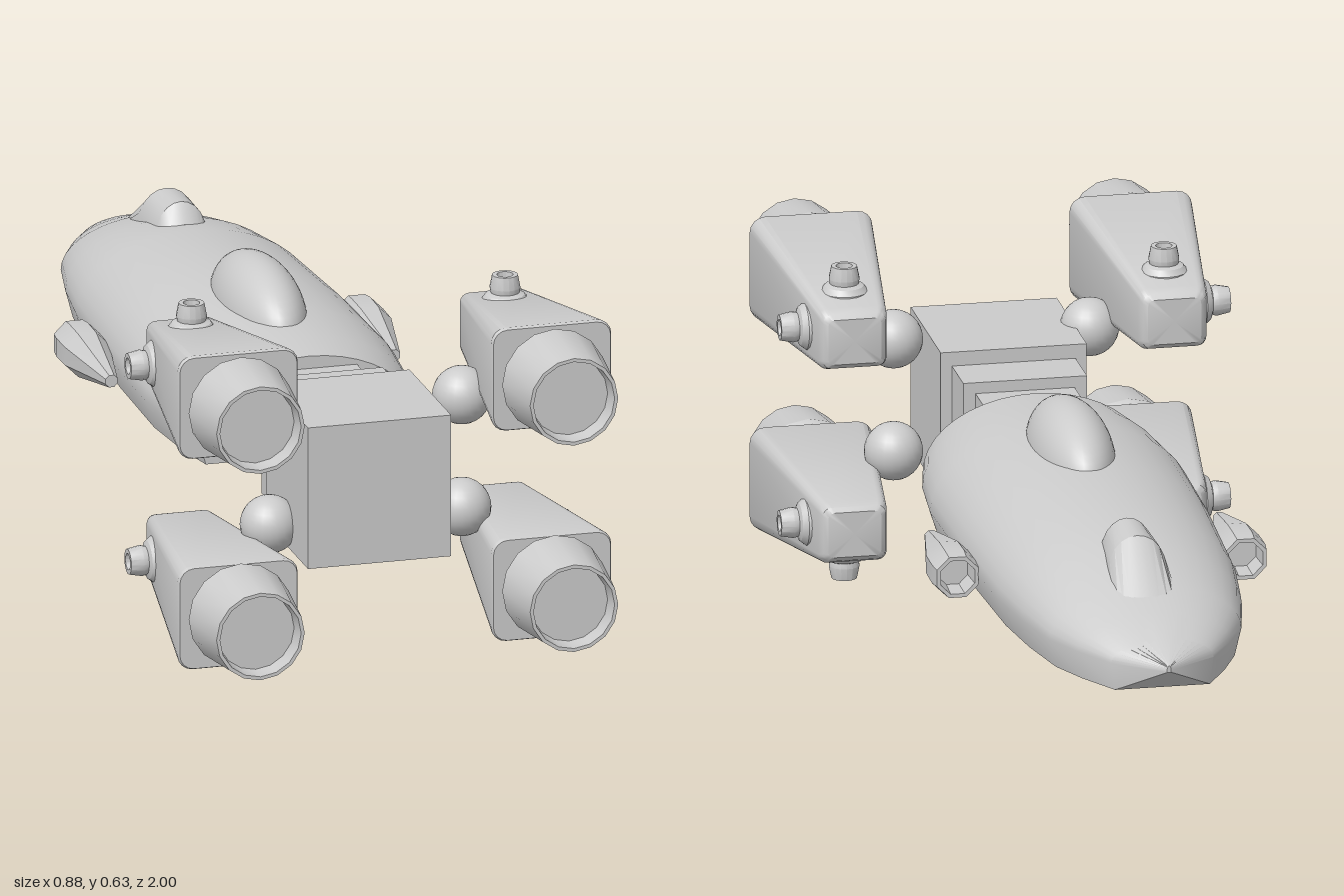
import * as THREE from 'three';
import { toCreasedNormals } from 'three/addons/utils/BufferGeometryUtils.js';

const MAT = new THREE.MeshStandardMaterial({ color: 0xcccccc });
const CX = -0.015; // centre line of the hull

function add(parent, name, geo, x = 0, y = 0, z = 0) {
  const mesh = new THREE.Mesh(geo, MAT);
  mesh.name = name;
  mesh.position.set(x, y, z);
  parent.add(mesh);
  return mesh;
}

// Skin closed rings of [x, y, z] (anticlockwise from +z, ordered by rising z), with end caps
function loft(rings, crease = 0.5) {
  const n = rings[0].length;
  const pos = rings.flat(2);
  const idx = [];
  for (let i = 0; i < rings.length - 1; i++) {
    for (let j = 0; j < n; j++) {
      const k = (j + 1) % n;
      const a = i * n + j, b = i * n + k, c = b + n, d = a + n;
      idx.push(a, b, c, a, c, d);
    }
  }
  [0, rings.length - 1].forEach((r, end) => {
    const centre = [0, 1, 2].map((c) => rings[r].reduce((s, p) => s + p[c], 0) / n);
    const m = pos.length / 3;
    pos.push(...centre);
    for (let j = 0; j < n; j++) {
      const a = r * n + j, b = r * n + (j + 1) % n;
      if (end) idx.push(m, a, b);
      else idx.push(m, b, a);
    }
  });
  const geo = new THREE.BufferGeometry();
  geo.setAttribute('position', new THREE.Float32BufferAttribute(pos, 3));
  geo.setIndex(idx);
  return toCreasedNormals(geo, crease);
}

function lathe(points, sides, crease = 0.5) {
  const profile = points.map(([r, y]) => new THREE.Vector2(r, y));
  return toCreasedNormals(new THREE.LatheGeometry(profile, sides), crease);
}

// Arched top over a flat floor
function hullRing([z, half, top, bottom]) {
  const mid = 0.28, ring = [];
  for (let j = 0; j <= 20; j++) {
    const a = (j / 20) * Math.PI;
    ring.push([half * Math.cos(a), mid + (top - mid) * Math.sin(a), z]);
  }
  ring.push([-half * 0.93, bottom, z], [half * 0.93, bottom, z]);
  return ring;
}

function hoodRing([z, half, top]) {
  const base = 0.3, ring = [];
  for (let j = 0; j <= 12; j++) {
    const a = (j / 12) * Math.PI;
    ring.push([half * Math.cos(a), base + (top - base) * Math.sqrt(Math.max(0, Math.sin(a))), z]);
  }
  return ring;
}

function roundedRect(z, w, h, r, cy) {
  const ring = [];
  for (let q = 0; q < 4; q++) {
    const sx = q === 0 || q === 3 ? 1 : -1, sy = q < 2 ? 1 : -1;
    for (let k = 0; k <= 4; k++) {
      const a = (q + k / 4) * Math.PI / 2;
      ring.push([sx * (w - r) + r * Math.cos(a), cy + sy * (h - r) + r * Math.sin(a), z]);
    }
  }
  return ring;
}

function ellipsoid(parent, name, rx, ry, rz, y, z) {
  add(parent, name, new THREE.SphereGeometry(1, 40, 24), 0, y, z).scale.set(rx, ry, rz);
}

// Engine with tapered housing, nozzle and two studs; sx, sy pick the corner
function createEngine(sx, sy) {
  const engine = new THREE.Group();
  engine.name = (sy > 0 ? 'upper' : 'lower') + (sx > 0 ? 'Left' : 'Right') + 'Engine';
  engine.position.set(sx * 0.313, 0.3175 + sy * 0.2125, 0);

  add(engine, 'engineHousing', loft([
    roundedRect(0.415, 0.052, 0.045, 0.012, -sy * 0.018),
    roundedRect(0.422, 0.061, 0.054, 0.016, -sy * 0.018),
    roundedRect(0.44, 0.067, 0.061, 0.018, -sy * 0.017),
    roundedRect(0.84, 0.12, 0.104, 0.03, 0),
    roundedRect(0.847, 0.117, 0.101, 0.028, 0),
  ], 0.6));

  const nozzle = lathe([
    [0.09, 0.84], [0.1, 0.853], [0.104, 0.862], [0.088, 1], [0.081, 1], [0.077, 0.965], [0, 0.965],
  ], 16);
  add(engine, 'nozzle', nozzle, 0, -sy * 0.004).rotation.x = Math.PI / 2;

  const stud = lathe([
    [0.046, -0.025], [0.046, 0], [0.038, 0.011], [0.028, 0.015], [0.03, 0.025],
    [0.025, 0.05], [0.016, 0.05], [0.014, 0.03], [0, 0.03],
  ], 16);
  add(engine, 'outerStud', stud, sx * 0.077, -sy * 0.015, 0.52).rotation.z = -sx * Math.PI / 2;
  add(engine, 'capStud', stud, 0, sy * 0.052, 0.52).rotation.z = sy > 0 ? 0 : Math.PI;
  return engine;
}

export function createModel() {
  const model = new THREE.Group();
  model.name = 'spaceship';

  const body = new THREE.Group();
  body.name = 'body';
  body.position.x = CX;
  model.add(body);

  // Hull: z, half width, top, bottom
  add(body, 'hull', loft([
    [-1, 0.004, 0.289, 0.276],
    [-0.935, 0.1, 0.322, 0.226],
    [-0.85, 0.15, 0.35, 0.225],
    [-0.77, 0.188, 0.376, 0.225],
    [-0.64, 0.216, 0.408, 0.225],
    [-0.5, 0.235, 0.428, 0.225],
    [-0.2, 0.25, 0.442, 0.225],
    [0.05, 0.255, 0.442, 0.225],
    [0.2, 0.24, 0.434, 0.225],
    [0.295, 0.22, 0.425, 0.225],
  ].map(hullRing)));

  // Hood near the nose: z, half width, top
  add(body, 'noseHood', loft([
    [-0.82, 0.072, 0.352], [-0.69, 0.062, 0.453], [-0.59, 0.056, 0.457], [-0.56, 0.056, 0.42],
  ].map(hoodRing), 0.4));

  ellipsoid(body, 'topDome', 0.08, 0.105, 0.2, 0.411, -0.05);
  ellipsoid(body, 'bellyDome', 0.185, 0.09, 0.46, 0.225, -0.2);

  // Side pods with a hollow intake, tapering to the rear
  const pod = lathe([
    [0, -0.3], [0.032, -0.3], [0.036, -0.35], [0.044, -0.35], [0.048, -0.32],
    [0.047, -0.26], [0.013, -0.09], [0, -0.09],
  ], 8);
  for (const s of [1, -1]) {
    add(body, s > 0 ? 'leftPod' : 'rightPod', pod, s * 0.282, 0.278, 0).rotation.set(Math.PI / 2, Math.PI / 8, 0);
  }

  // Stepped neck and engine block: half width, bottom, top, front z, rear z
  for (const [name, half, y0, y1, z0, z1] of [
    ['neck', 0.097, 0.215, 0.4, 0.27, 0.4],
    ['collar', 0.121, 0.19, 0.422, 0.39, 0.51],
    ['engineBlock', 0.143, 0.165, 0.45, 0.5, 0.79],
  ]) {
    add(body, name, new THREE.BoxGeometry(half * 2, y1 - y0, z1 - z0), 0, (y0 + y1) / 2, (z0 + z1) / 2);
  }

  // Four engines, each on a ball joint
  for (const sx of [1, -1]) {
    for (const sy of [1, -1]) {
      model.add(createEngine(sx, sy));
      add(model, 'ballJoint', new THREE.SphereGeometry(0.057, 24, 16), sx * 0.192, 0.325 + sy * 0.113, 0.64);
    }
  }
  return model;
}
